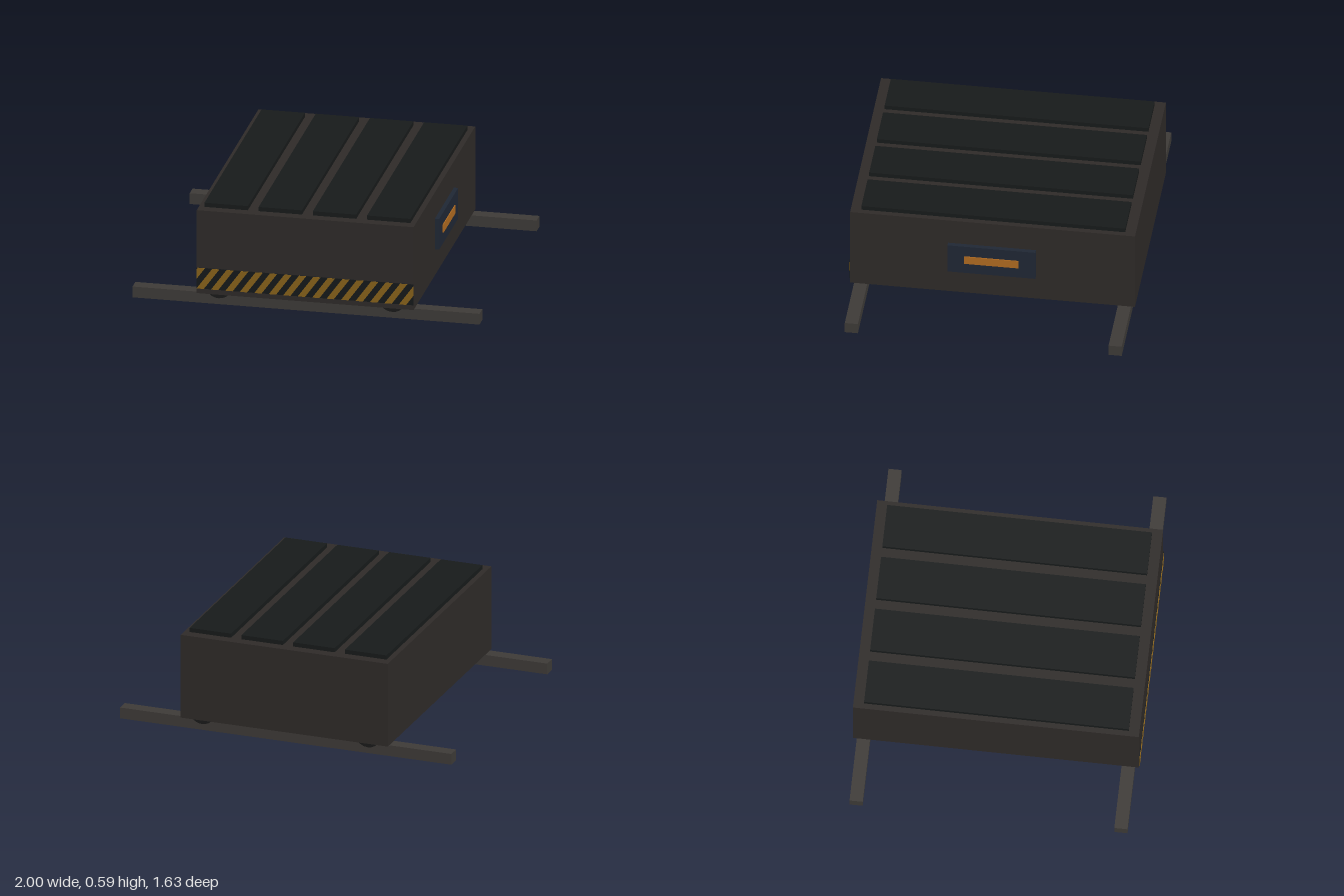
import * as THREE from 'three';

const mat = (color) => new THREE.MeshStandardMaterial({ color });
const bodyMat = mat(0x2e2a28), slabMat = mat(0x171a1a), railMat = mat(0x3d3a37);
const wheelMat = mat(0x1a1a1a), panelMat = mat(0x1f2734), lightMat = mat(0xb06a20);
const bandMat = mat(0x15181a), stripeMat = mat(0x86611a);

export function createModel() {
  const model = new THREE.Group();
  model.name = 'railPlatform';

  const add = (name, geometry, material, x, y, z) => {
    const mesh = new THREE.Mesh(geometry, material);
    mesh.name = name;
    mesh.position.set(x, y, z);
    model.add(mesh);
    return mesh;
  };
  const box = (name, material, w, h, d, x, y, z) =>
    add(name, new THREE.BoxGeometry(w, h, d), material, x, y, z);

  // Main body, with four long raised slabs on its top
  box('body', bodyMat, 1.25, 0.5, 1.62, 0, 0.315, -0.003);
  for (let i = 0; i < 4; i++) {
    box('topSlab', slabMat, 0.25, 0.025, 1.5, (i - 1.5) * 0.3125, 0.5775, -0.003);
  }

  // Rails running across under the front and back, with the wheels resting in them
  for (const side of [-1, 1]) {
    const z = side * 0.75 - 0.003;
    box('rail', railMat, 2, 0.065, 0.075, 0, 0.0325, z);
    for (const x of [-0.5, 0.5]) {
      const wheel = new THREE.CylinderGeometry(0.08, 0.08, 0.1, 24).rotateX(Math.PI / 2);
      add('wheel', wheel, wheelMat, x, 0.12, z);
    }
  }

  // Control panel on the left flank with its lit strip
  box('sidePanel', panelMat, 0.025, 0.185, 0.5, 0.6375, 0.315, 0);
  box('panelLight', lightMat, 0.006, 0.05, 0.31, 0.652, 0.315, 0);

  // Hazard band along the foot of the front face
  const half = 0.625, low = 0.095, high = 0.22;
  box('hazardBand', bandMat, 2 * half, high - low, 0.004, 0, (low + high) / 2, 0.809);

  // Cuts a polygon off at the vertical line x = sign * half
  const clip = (points, sign) => {
    const out = [];
    points.forEach((a, i) => {
      const b = points[(i + 1) % points.length];
      const da = half - sign * a.x, db = half - sign * b.x;
      if (da >= 0) out.push(a);
      if (da * db < 0) out.push(a.clone().lerp(b, da / (da - db)));
    });
    return out;
  };

  // Slanted stripes of the hazard band, trimmed at both ends
  const pitch = 1.25 / 15, width = pitch / 2, slant = 0.09;
  const stripes = [];
  for (let i = -2; i < 15; i++) {
    const x = -half + i * pitch;
    let points = [[x, low], [x + width, low], [x + width + slant, high], [x + slant, high]]
      .map(([px, py]) => new THREE.Vector2(px, py));
    points = clip(clip(points, -1), 1);
    if (points.length > 2) stripes.push(new THREE.Shape(points));
  }
  const stripeGeometry = new THREE.ExtrudeGeometry(stripes, { depth: 0.002, bevelEnabled: false });
  add('hazardStripes', stripeGeometry, stripeMat, 0, 0, 0.811);

  return model;
}
